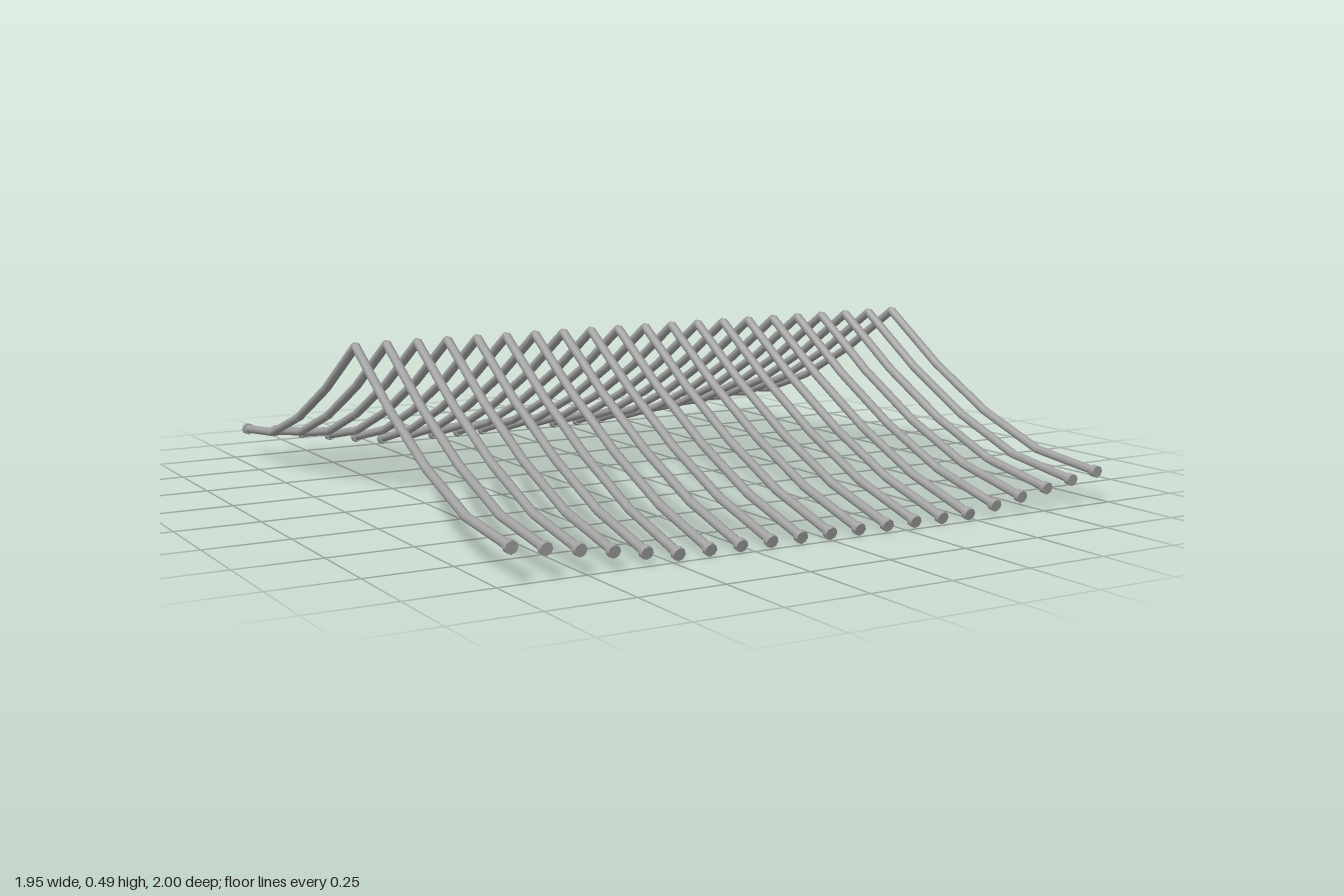
import * as THREE from 'three';

const UP = new THREE.Vector3(0, 1, 0);

export function createModel() {
  const model = new THREE.Group();
  model.name = 'roofRibs';
  const grey = new THREE.MeshStandardMaterial({ color: 0xa2a2a2 });
  grey.name = 'tile grey';

  // Straight round bar between two points
  function bar(parent, name, a, b, radius) {
    const dir = b.clone().sub(a);
    const geometry = new THREE.CylinderGeometry(radius, radius, dir.length(), 8);
    const mesh = new THREE.Mesh(geometry, grey);
    mesh.name = name;
    mesh.position.copy(a).add(b).multiplyScalar(0.5);
    mesh.quaternion.setFromUnitVectors(UP, dir.normalize());
    parent.add(mesh);
  }

  // Roof slope from ridge to eave: z, y, and share of the corner lift
  const slope = [
    [0, 0.478, 0],
    [0.245, 0.323, 0.03],
    [0.49, 0.193, 0.14],
    [0.735, 0.089, 0.42],
    [0.985, 0.02, 1],
  ];

  for (let i = -10; i <= 10; i++) {
    const rib = new THREE.Group();
    rib.name = 'rib';
    rib.position.x = i * 0.0956;
    // The outer five ribs on each side sweep up toward the corners
    const lift = Math.max(0, Math.abs(i) - 5) * 0.0148;

    for (const side of [1, -1]) {
      const points = slope.map(([z, y, k]) => new THREE.Vector3(0, y + k * lift, side * z));
      for (let j = 0; j < 4; j++) bar(rib, 'ribSegment', points[j], points[j + 1], 0.0135);

      // Wider round cap at the eave
      const end = points[4];
      const dir = end.clone().sub(points[3]).normalize();
      bar(rib, 'eaveCap', end.clone().addScaledVector(dir, -0.008),
        end.clone().addScaledVector(dir, 0.01), 0.0185);
    }
    model.add(rib);
  }
  return model;
}
